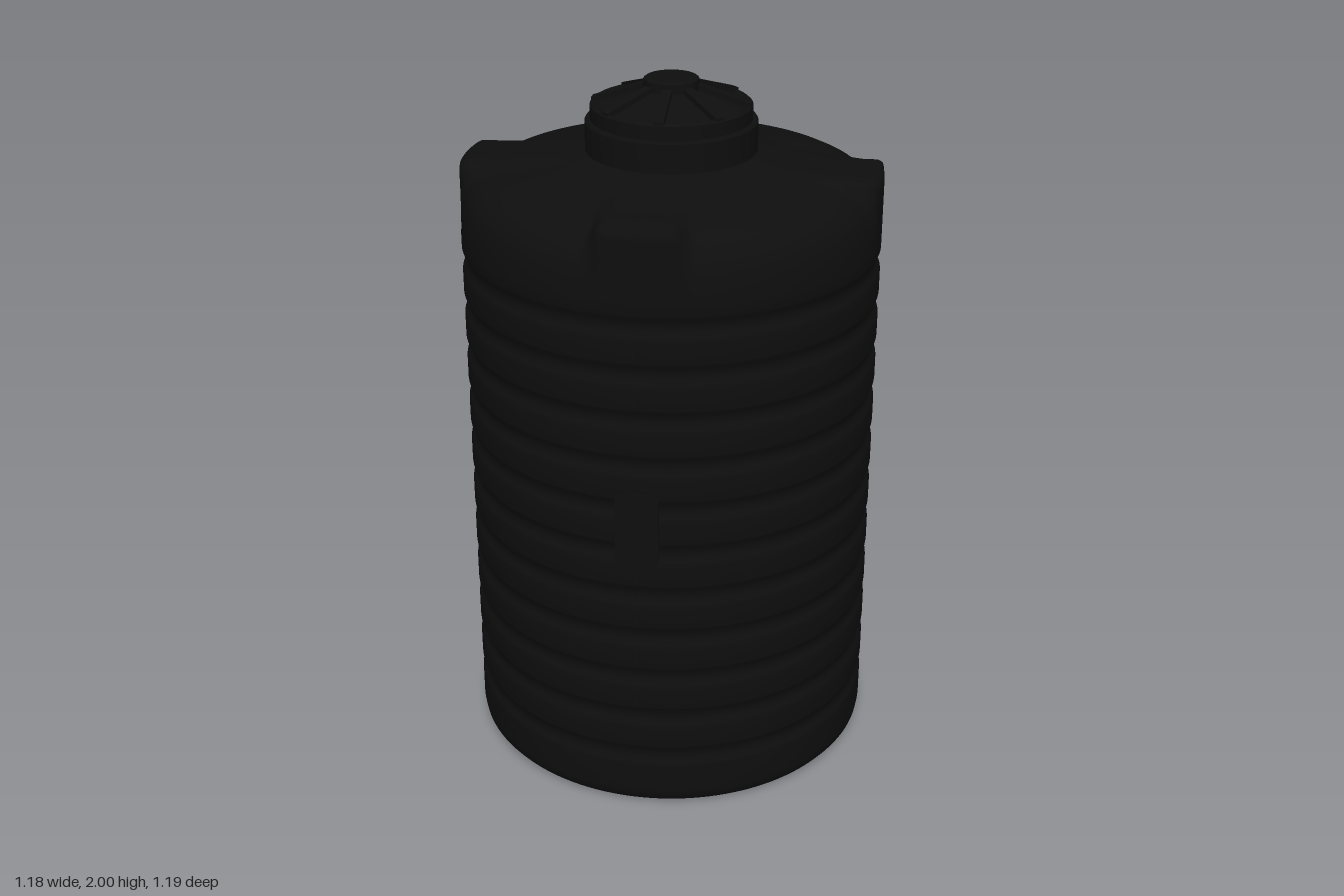
import * as THREE from 'three';
import { toCreasedNormals } from 'three/addons/utils/BufferGeometryUtils.js';

const R = 0.592;
const SEGMENTS = 192;
const v2 = ([x, y]) => new THREE.Vector2(x, y);

function bodyGeometry() {
  // Rounded foot, then eleven evenly spaced hoop grooves
  const wall = [[0, 0], [0.5, 0], [0.55, 0.002], [0.576, 0.01], [0.588, 0.025], [R, 0.05]];
  for (let k = 0; k < 11; k++) {
    const c = 0.17 + k * 0.133;
    for (let s = -3; s <= 3; s++) {
      wall.push([R - 0.013 * Math.cos((s / 3) * Math.PI / 2), c + s * 0.012]);
    }
  }
  // Shoulder between the lugs, and the matching fuller section through a lug
  const dome = [[R, 1.57], [0.589, 1.61], [0.583, 1.65], [0.568, 1.69], [0.54, 1.72], [0.51, 1.735],
    [0.47, 1.747], [0.4, 1.762], [0.33, 1.774], [0.275, 1.786], [0.262, 1.797], [0.23, 1.8]];
  const lug = [[R, 1.57], [R, 1.62], [R, 1.68], [R, 1.735], [0.589, 1.755], [0.575, 1.763],
    [0.5, 1.765], [0.41, 1.77], [0.33, 1.778], [0.275, 1.788], [0.262, 1.797], [0.23, 1.8]];
  const profile = [...wall, ...dome];
  const geo = new THREE.LatheGeometry(profile.map(v2), SEGMENTS);
  const pos = geo.attributes.position;
  const n = profile.length;
  // Swell the shoulder into four lugs, one per quarter turn
  for (let i = 0; i <= SEGMENTS; i++) {
    const a = (i / SEGMENTS) * Math.PI * 2;
    const off = Math.abs(a - Math.round(a / (Math.PI / 2)) * (Math.PI / 2));
    for (let j = 0; j < dome.length; j++) {
      const [r0, y0] = dome[j], [r1, y1] = lug[j];
      const t = 1 - THREE.MathUtils.smoothstep(r1 * Math.sin(off), 0.095, 0.145);
      const r = r0 + (r1 - r0) * t;
      pos.setXYZ(i * n + wall.length + j, r * Math.sin(a), y0 + (y1 - y0) * t, r * Math.cos(a));
    }
  }
  geo.computeVertexNormals();
  return geo;
}

function turned(points, segments = 64) {
  return toCreasedNormals(new THREE.LatheGeometry(points.map(v2), segments), 0.5);
}

export function createModel() {
  const black = new THREE.MeshStandardMaterial({ color: 0x0e0e0e });
  black.name = 'black plastic';
  const model = new THREE.Group();
  model.name = 'waterTank';
  const add = (name, geo, parent = model) => {
    const mesh = new THREE.Mesh(geo, black);
    mesh.name = name;
    parent.add(mesh);
    return mesh;
  };

  add('tankBody', bodyGeometry());

  // Collar around the filling hole
  add('neckCollar', turned([[0.24, 1.79], [0.24, 1.88], [0.236, 1.886], [0.215, 1.886]]));

  // Screw lid: rim, shallow cone and raised hub
  const lid = new THREE.Group();
  lid.name = 'lid';
  model.add(lid);
  add('lidCap', turned([[0.225, 1.88], [0.225, 1.925], [0.218, 1.931], [0.205, 1.925],
    [0.078, 1.968], [0.076, 1.996], [0.07, 2], [0, 2]]), lid);

  // Eight radial ribs lying along the cone
  const inner = [0.07, 1.985], outer = [0.222, 1.936];
  const rib = new THREE.Shape([inner, outer, [0.222, 1.91], [0.07, 1.955]].map(v2));
  const ribGeo = new THREE.ExtrudeGeometry(rib, { depth: 0.028, bevelEnabled: false });
  ribGeo.translate(0, 0, -0.014);
  for (let k = 0; k < 8; k++) {
    add('lidRib', ribGeo, lid).rotation.y = (k * Math.PI) / 4;
  }

  // Small flat plate with rounded corners on the front wall
  const w = 0.06, h = 0.11, c = 0.025;
  const plate = new THREE.Shape();
  plate.moveTo(-w + c, -h);
  plate.lineTo(w - c, -h);
  plate.quadraticCurveTo(w, -h, w, -h + c);
  plate.lineTo(w, h - c);
  plate.quadraticCurveTo(w, h, w - c, h);
  plate.lineTo(-w + c, h);
  plate.quadraticCurveTo(-w, h, -w, h - c);
  plate.lineTo(-w, -h + c);
  plate.quadraticCurveTo(-w, -h, -w + c, -h);
  const plateGeo = new THREE.ExtrudeGeometry(plate, { depth: 0.009, bevelEnabled: false });
  add('frontPlate', plateGeo).position.set(0, 0.91, 0.587);

  return model;
}
